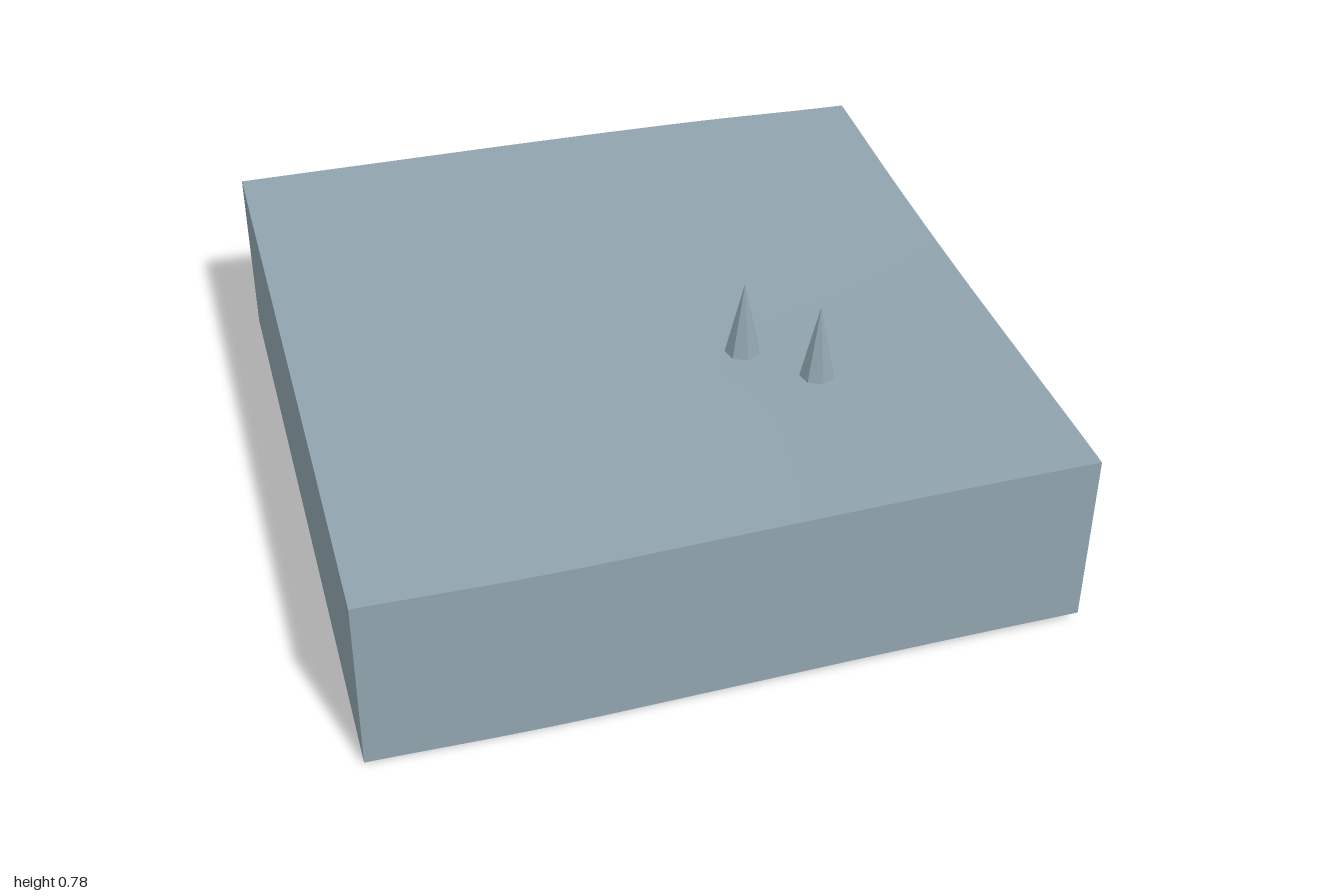
import * as THREE from 'three';

export function createModel() {
  const model = new THREE.Group();
  const stone = new THREE.MeshStandardMaterial({ color: 0x90a4ae, side: THREE.DoubleSide });
  stone.name = 'blue grey stone';
  const N = 24, DEPTH = 0.534;

  const add = (name, geometry) => {
    const mesh = new THREE.Mesh(geometry, stone);
    mesh.name = name;
    model.add(mesh);
    return mesh;
  };

  // Height along each border, from -1 to 1
  const profile = (heights) => {
    const curve = new THREE.SplineCurve(heights.map((h, i) => new THREE.Vector2(i / 2 - 1, h)));
    return (t) => curve.getPoint(t).y;
  };
  const front = profile([0.54, 0.535, 0.548, 0.562, 0.57]);
  const back = profile([0.58, 0.578, 0.575, 0.567, 0.55]);
  const left = profile([0.55, 0.541, 0.543, 0.556, 0.57]);
  const right = profile([0.58, 0.573, 0.565, 0.556, 0.54]);

  // Blend the four borders into one gently rolling surface
  const height = (x, z) => {
    const u = (x + 1) / 2, v = (z + 1) / 2, lerp = THREE.MathUtils.lerp;
    const corners = lerp(lerp(back(0), back(1), u), lerp(front(0), front(1), u), v);
    return lerp(back(u), front(u), v) + lerp(right(v), left(v), u) - corners;
  };

  // Ground surface
  const ground = new THREE.PlaneGeometry(2, 2, N, N).rotateX(-Math.PI / 2);
  const gp = ground.attributes.position;
  for (let i = 0; i < gp.count; i++) gp.setY(i, height(gp.getX(i), gp.getZ(i)));
  ground.computeVertexNormals();
  add('groundSurface', ground);

  // Four skirt walls that follow the ground border; the underside stays open
  ['frontWall', 'leftWall', 'backWall', 'rightWall'].forEach((name, k) => {
    const wall = new THREE.PlaneGeometry(2, 1, N, 1).translate(0, 0, 1).rotateY(k * Math.PI / 2);
    const p = wall.attributes.position;
    for (let i = 0; i < p.count; i++) {
      const top = height(p.getX(i), p.getZ(i));
      p.setY(i, p.getY(i) > 0 ? top : top - DEPTH);
    }
    add(name, wall);
  });

  // Two low-poly spikes standing on the ground
  [0.25, 0.415].forEach((d, i) => {
    const spike = new THREE.ConeGeometry(0.051, 0.226, 7).toNonIndexed();
    spike.computeVertexNormals();
    add(`spike${i + 1}`, spike).position.set(d, 0.556 + 0.113, d);
  });

  return model;
}
